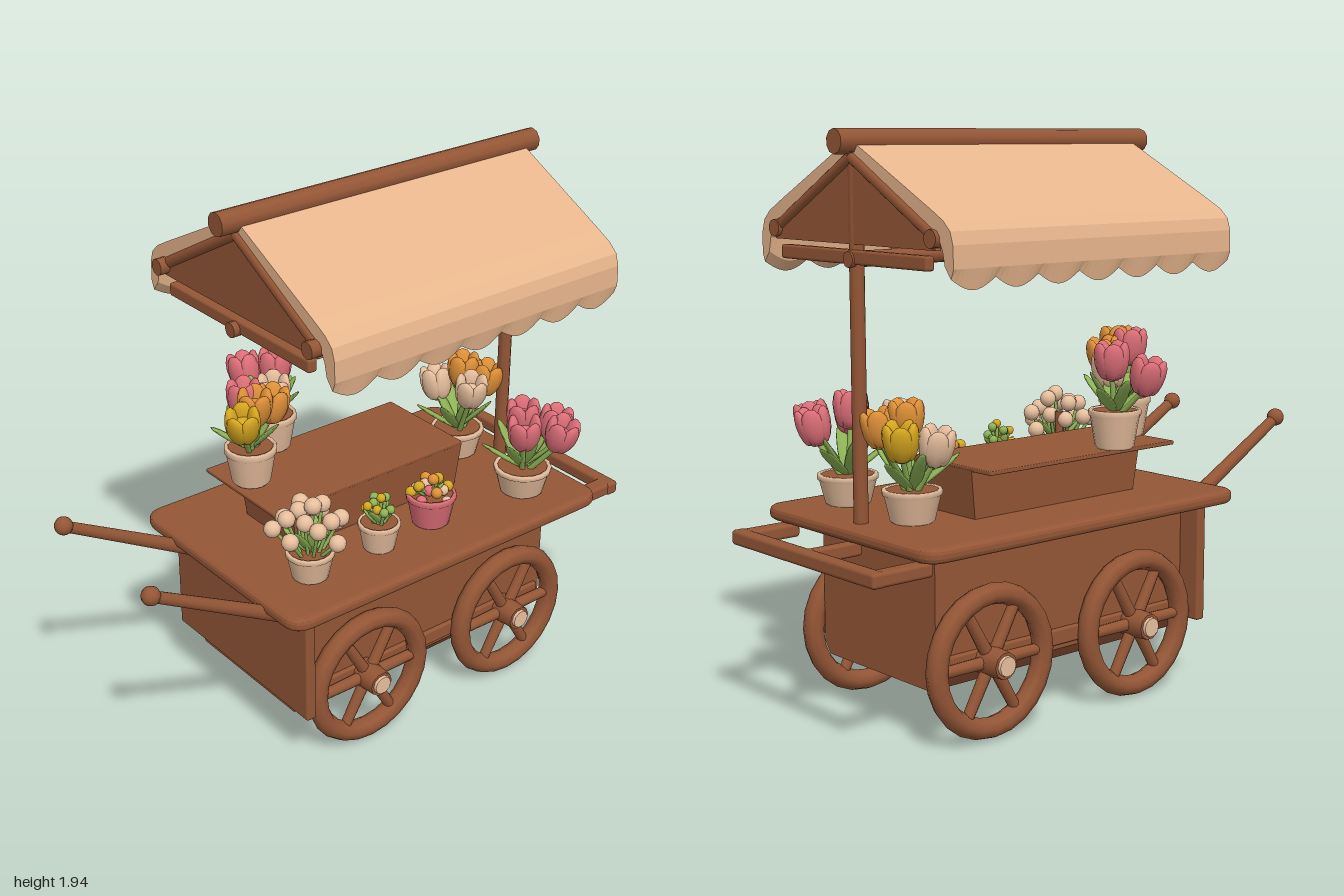
import * as THREE from 'three';
import { RoundedBoxGeometry } from 'three/addons/geometries/RoundedBoxGeometry.js';

const mat = (name, color) => {
  const m = new THREE.MeshStandardMaterial({ color });
  m.name = name;
  return m;
};

export function createModel() {
  const wood = mat('wood', 0x945636);
  const canvas = mat('canvas', 0xe6b58c);
  const clay = mat('clay', 0xe8c09e);
  const pink = mat('pink', 0xde6f78);
  const yellow = mat('yellow', 0xd8a820);
  const orange = mat('orange', 0xe09038);
  const green = mat('green', 0x8fb457);

  const model = new THREE.Group();
  model.name = 'flowerCart';
  const V = (x, y, z) => new THREE.Vector3(x, y, z);
  const UP = V(0, 1, 0);

  const add = (name, geo, material, x = 0, y = 0, z = 0, parent = model) => {
    const m = new THREE.Mesh(geo, material);
    m.name = name;
    m.position.set(x, y, z);
    parent.add(m);
    return m;
  };
  const box = (name, w, h, d, x, y, z) =>
    add(name, new RoundedBoxGeometry(w, h, d, 2, Math.min(w, h, d) * 0.25), wood, x, y, z);
  const ball = (name, r, x, y, z, material = wood, parent = model) =>
    add(name, new THREE.SphereGeometry(r, 12, 8), material, x, y, z, parent);
  // round bar between two points
  const rod = (name, a, b, r, r2 = r, material = wood, parent = model) => {
    const d = b.clone().sub(a);
    const m = add(name, new THREE.CylinderGeometry(r2, r, d.length(), 10), material, 0, 0, 0, parent);
    m.position.copy(a).addScaledVector(d, 0.5);
    m.quaternion.setFromUnitVectors(UP, d.normalize());
    return m;
  };
  const section = (pts, depth, steps = 1) => new THREE.ExtrudeGeometry(
    new THREE.Shape(pts.map(p => new THREE.Vector2(...p))), { depth, steps, bevelEnabled: false });

  // table top with rounded corners
  const w = 0.43, f = 0.53, bk = -0.805, c = 0.05;
  const plan = new THREE.Shape();
  plan.moveTo(-w + c, -f).lineTo(w - c, -f).quadraticCurveTo(w, -f, w, -f + c)
    .lineTo(w, -bk - c).quadraticCurveTo(w, -bk, w - c, -bk)
    .lineTo(-w + c, -bk).quadraticCurveTo(-w, -bk, -w, -bk - c)
    .lineTo(-w, -f + c).quadraticCurveTo(-w, -f, -w + c, -f);
  add('tableTop', new THREE.ExtrudeGeometry(plan, {
    depth: 0.014, bevelThickness: 0.018, bevelSize: 0.024, bevelSegments: 3, curveSegments: 6,
  }), wood, 0, 0.678, 0).rotation.x = -Math.PI / 2;

  // cart body, front panel and chassis
  add('cartBody', section([[-0.27, 0.2], [0.27, 0.2], [0.3, 0.24], [0.3, 0.67], [-0.3, 0.67], [-0.3, 0.24]], 1.12), wood, 0, 0, -0.69);
  box('frontPanel', 0.77, 0.43, 0.04, 0, 0.455, 0.44);
  for (const s of [-1, 1]) box('chassisBeam', 0.03, 0.055, 1.08, s * 0.3, 0.285, -0.13);

  // wheels with axles
  const makeWheel = (s, z) => {
    const g = new THREE.Group();
    g.name = 'wheel';
    g.position.set(s * 0.335, 0.275, z);
    add('rim', new THREE.TorusGeometry(0.222, 0.036, 8, 24), wood, 0, 0, 0, g).rotation.y = Math.PI / 2;
    for (let i = 0; i < 6; i++) {
      const a = i * Math.PI / 3;
      rod('spoke', V(0, 0, 0), V(0, 0.21 * Math.sin(a), 0.21 * Math.cos(a)), 0.022, 0.019, wood, g);
    }
    rod('hub', V(-s * 0.03, 0, 0), V(s * 0.075, 0, 0), 0.052, 0.045, wood, g);
    rod('hubCap', V(s * 0.07, 0, 0), V(s * 0.085, 0, 0), 0.036, 0.033, clay, g);
    model.add(g);
  };
  for (const z of [0.158, -0.492]) {
    rod('axle', V(-0.34, 0.275, z), V(0.34, 0.275, z), 0.025);
    makeWheel(1, z);
    makeWheel(-1, z);
  }

  // front pulling handles
  for (const s of [-1, 1]) {
    rod('frontHandle', V(s * 0.265, 0.6, 0.44), V(s * 0.265, 0.893, 0.965), 0.027, 0.02);
    ball('handleKnob', 0.032, s * 0.265, 0.895, 0.966);
  }
  // rear push bar
  box('pushBar', 0.78, 0.05, 0.05, -0.01, 0.635, -0.975);
  for (const [x, bw] of [[-0.372, 0.055], [0.345, 0.06], [-0.015, 0.04]])
    box('pushBarArm', bw, 0.048, 0.22, x, 0.635, -0.88);

  // display crate with flared ends and a lid
  const crate = new THREE.BoxGeometry(0.29, 0.17, 0.72);
  const cp = crate.attributes.position;
  for (let i = 0; i < cp.count; i++)
    if (cp.getY(i) > 0) cp.setXYZ(i, cp.getX(i) * 1.06, cp.getY(i), cp.getZ(i) * 1.06);
  crate.computeVertexNormals();
  add('crate', crate, wood, -0.065, 0.79, -0.09);
  box('crateLid', 0.4, 0.014, 0.84, -0.11, 0.877, -0.05);
  rod('shortPost', V(0.17, 0.7, 0.27), V(0.17, 0.94, 0.27), 0.015);

  // roof frame
  rod('backPost', V(0, 0.7, -0.75), V(0, 1.9, -0.75), 0.024);
  rod('ridgeBeam', V(0, 1.917, 0.5), V(0, 1.917, -0.83), 0.04);
  rod('centreBeam', V(0, 1.553, 0.46), V(0, 1.553, -0.785), 0.026);
  for (const s of [-1, 1]) rod('eaveBeam', V(s * 0.41, 1.635, 0.465), V(s * 0.41, 1.635, -0.785), 0.029);
  for (const z of [0.42, -0.76]) {
    box('crossBeam', 0.765, 0.046, 0.035, 0, 1.56, z);
    for (const s of [-1, 1]) rod('rafter', V(0, 1.87, z), V(s * 0.41, 1.64, z), 0.022);
    add('gablePanel', section([[-0.42, 1.6], [0.42, 1.6], [0.4, 1.645], [0, 1.88], [-0.4, 1.645]], 0.02), wood, 0, 0, z - 0.01);
  }

  // thick canvas awning with scalloped hems
  const outer = [[0.4, 1.72], [0.455, 1.69], [0.487, 1.66], [0.5, 1.62], [0.502, 1.55], [0.49, 1.485]];
  const inner = [[0.462, 1.52], [0.452, 1.6], [0.43, 1.645], [0.4, 1.665]];
  const flip = pts => pts.map(([x, y]) => [-x, y]).reverse();
  const cloth = section([[0, 1.925], ...outer, ...inner, [0, 1.885], ...flip(inner), ...flip(outer)], 1.2, 70);
  const q = cloth.attributes.position;
  for (let i = 0; i < q.count; i++)
    if (q.getY(i) < 1.54)
      q.setY(i, q.getY(i) + 0.035 * (1 - Math.abs(Math.sin(q.getZ(i) / 1.2 * Math.PI * 7))));
  cloth.computeVertexNormals();
  add('awning', cloth, canvas, 0, 0, -0.77);

  // plants: pots, leaves, tulips and small blossoms
  const potGeo = new THREE.LatheGeometry(
    [[0, 0], [0.66, 0], [0.74, 0.06], [0.93, 0.8], [0.99, 0.84], [1, 0.97], [0.96, 1], [0.86, 1], [0.84, 0.9]].map(p => new THREE.Vector2(...p)), 16);
  const petalGeo = new THREE.SphereGeometry(1, 8, 7);
  const leafGeo = new THREE.SphereGeometry(1, 6, 6);

  const makePot = (x, y, z, r, h, material = clay) => {
    const g = new THREE.Group();
    g.name = 'pottedPlant';
    g.position.set(x, y, z);
    add('pot', potGeo, material, 0, 0, 0, g).scale.set(r, h, r);
    add('soil', new THREE.CylinderGeometry(r * 0.87, r * 0.8, 0.01, 14), wood, 0, h * 0.92, 0, g);
    model.add(g);
    return g;
  };
  const leaves = (g, h, n, len, tilt) => {
    for (let i = 0; i < n; i++) {
      const a = i * Math.PI * 2 / n + 0.4;
      const t = tilt * (0.75 + 0.25 * (i % 3));
      const dir = V(Math.sin(t) * Math.cos(a), Math.cos(t), Math.sin(t) * Math.sin(a));
      const m = add('leaf', leafGeo, green, 0, 0, 0, g);
      m.position.copy(dir).multiplyScalar(len * 0.5).add(V(0, h * 0.9, 0));
      m.scale.set(0.009, len * 0.5, 0.026);
      m.rotation.set(0, -a, -t, 'YXZ');
    }
  };
  const tulip = (g, h, x, y, z, material) => {
    rod('stem', V(x * 0.2, h * 0.9, z * 0.2), V(x, y - 0.03, z), 0.01, 0.009, green, g);
    const head = new THREE.Group();
    head.name = 'tulipHead';
    head.position.set(x, y, z);
    head.rotation.set(z * 2, 0, -x * 2);
    for (let i = 0; i < 5; i++) {
      const a = i * Math.PI * 0.4;
      const p = add('petal', petalGeo, material, 0.037 * Math.cos(a), 0.008, 0.037 * Math.sin(a), head);
      p.scale.set(0.022, 0.064, 0.04);
      p.rotation.set(0, -a, -0.14, 'YXZ');
    }
    ball('heart', 0.048, 0, -0.016, 0, material, head);
    g.add(head);
  };
  const blossoms = (g, h, n, spread, top, r, mats) => {
    for (let i = 0; i < n; i++) {
      const a = i * 2.4, d = spread * Math.sqrt((i + 0.3) / n);
      const x = d * Math.cos(a), z = d * Math.sin(a), y = top - 0.8 * d * d / spread - 0.02 * (i % 2);
      rod('stem', V(x * 0.4, h * 0.9, z * 0.4), V(x, y, z), 0.006, 0.006, green, g);
      ball('blossom', r, x, y, z, mats[i % mats.length], g);
    }
  };

  // pot: position, radius, height, leaf length, list of tulips [x, y, z, colour]
  const tulipPots = [
    [-0.295, 0.89, 0.095, 0.09, 0.135, 0.17, [[-0.13, 0.25, 0.02, pink], [-0.015, 0.295, -0.03, pink], [0.07, 0.25, 0.04, clay]]],
    [-0.135, 0.89, 0.3, 0.092, 0.14, 0.17, [[-0.015, 0.31, 0.01, pink], [0.105, 0.285, 0.1, yellow], [0.06, 0.31, 0.02, orange], [0.03, 0.28, -0.07, orange]]],
    [0.265, 0.71, -0.61, 0.105, 0.105, 0.2, [[0.02, 0.31, 0.03, pink], [0.14, 0.265, -0.04, pink], [0.06, 0.26, -0.09, pink], [0.07, 0.28, 0.07, pink]]],
    [-0.1, 0.71, -0.62, 0.1, 0.11, 0.2, [[0.0, 0.33, -0.02, orange], [0.06, 0.3, -0.08, orange], [-0.05, 0.27, -0.08, yellow], [0.12, 0.31, 0.05, clay], [-0.1, 0.25, 0.02, clay]]],
  ];
  for (const [x, y, z, r, h, len, heads] of tulipPots) {
    const g = makePot(x, y, z, r, h);
    leaves(g, h, 8, len, 0.75);
    for (const [hx, hy, hz, m] of heads) tulip(g, h, hx, hy, hz, m);
  }

  const cream = makePot(0.25, 0.71, 0.34, 0.084, 0.105);
  leaves(cream, 0.105, 7, 0.13, 0.6);
  blossoms(cream, 0.105, 16, 0.13, 0.28, 0.03, [clay]);

  const small = makePot(0.25, 0.71, 0.045, 0.075, 0.105);
  leaves(small, 0.105, 7, 0.08, 0.6);
  blossoms(small, 0.105, 10, 0.055, 0.2, 0.016, [yellow, green, green]);

  const rosy = makePot(0.23, 0.71, -0.205, 0.09, 0.12, pink);
  leaves(rosy, 0.12, 7, 0.07, 0.9);
  blossoms(rosy, 0.12, 16, 0.075, 0.175, 0.02, [orange, clay, yellow, pink]);

  return model;
}
